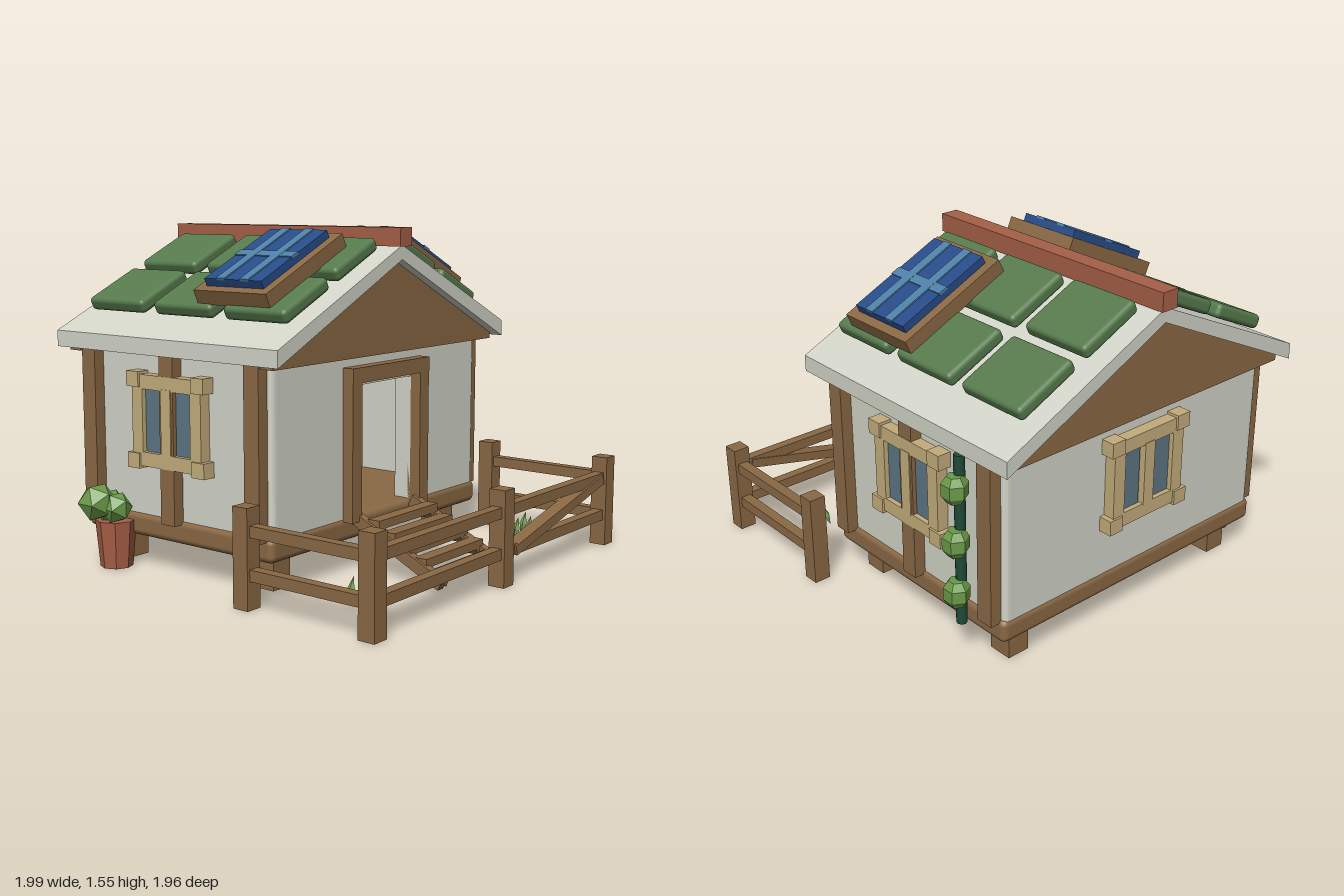
import * as THREE from 'three';
import { RoundedBoxGeometry } from 'three/addons/geometries/RoundedBoxGeometry.js';

const mat = (color, flatShading = false) => new THREE.MeshStandardMaterial({ color, flatShading });
const WOOD = mat(0x8a6844), WALL = mat(0xd2d4c8), TILE = mat(0x567a4c), CLAY = mat(0xa65f46, true);
const TAN = mat(0xc4ad7c), GLASS = mat(0x5d7684), BLUE = mat(0x274c88), CELL = mat(0x4f80a8);
const DARK = mat(0x544030), LEAF = mat(0x6a9a48, true), STEM = mat(0x1f4a38), GRASS = mat(0x7fa55c, true);
const PITCH = Math.atan2(0.4, 0.86);

function add(parent, name, geometry, material, x = 0, y = 0, z = 0) {
  const m = new THREE.Mesh(geometry, material);
  m.name = name;
  m.position.set(x, y, z);
  parent.add(m);
  return m;
}
const box = (p, name, material, w, h, d, x, y, z) => add(p, name, new THREE.BoxGeometry(w, h, d), material, x, y, z);
const rounded = (p, name, material, w, h, d, r, x, y, z) =>
  add(p, name, new RoundedBoxGeometry(w, h, d, 3, r), material, x, y, z);
function group(parent, name, x = 0, y = 0, z = 0) {
  const g = new THREE.Group();
  g.name = name;
  g.position.set(x, y, z);
  parent.add(g);
  return g;
}
const polygon = pts => new THREE.Shape(pts.map(p => new THREE.Vector2(...p)));
const extrude = (shape, depth) => new THREE.ExtrudeGeometry(shape, { depth, bevelEnabled: false, curveSegments: 4 });

// Wall plan with rounded corners; shape y is -z. With a door half-width it is cut open at the front.
function wallPlan(doorHalf) {
  const W = 0.775, D = 0.57, T = 0.09, r = 0.03, s = new THREE.Shape();
  s.moveTo(doorHalf, -D);
  s.lineTo(W - r, -D); s.quadraticCurveTo(W, -D, W, -D + r);
  s.lineTo(W, D - r); s.quadraticCurveTo(W, D, W - r, D);
  s.lineTo(-W + r, D); s.quadraticCurveTo(-W, D, -W, D - r);
  s.lineTo(-W, -D + r); s.quadraticCurveTo(-W, -D, -W + r, -D);
  s.lineTo(-doorHalf, -D);
  const w = W - T, d = D - T;
  if (doorHalf) {
    for (const [x, y] of [[-doorHalf, -d], [-w, -d], [-w, d], [w, d], [w, -d], [doorHalf, -d]]) s.lineTo(x, y);
  } else {
    s.holes.push(polygon([[-w, -d], [-w, d], [w, d], [w, -d]]));
  }
  return s;
}

// Two-pane window facing +z
function windowUnit(parent, name, x, z, turn) {
  const g = group(parent, name, x, 0.70, z);
  g.rotation.y = turn;
  for (const s of [-1, 1]) {
    box(g, 'windowStile', TAN, 0.065, 0.4, 0.055, s * 0.18, 0, 0.03);
    box(g, 'windowRail', TAN, 0.42, 0.065, 0.055, 0, s * 0.175, 0.03);
    box(g, 'windowPane', GLASS, 0.115, 0.29, 0.02, s * 0.095, 0, 0.025);
    for (const t of [-1, 1]) box(g, 'windowCorner', TAN, 0.075, 0.07, 0.065, s * 0.2, t * 0.185, 0.035);
  }
  box(g, 'windowMullion', TAN, 0.06, 0.3, 0.05, 0, 0, 0.035);
}

function buildHouse(house) {
  rounded(house, 'floor', WOOD, 1.58, 0.11, 1.155, 0.03, 0, 0.203, 0);
  for (const x of [-0.64, 0.64]) for (const z of [-0.445, 0.445]) box(house, 'footing', WOOD, 0.11, 0.17, 0.115, x, 0.085, z);
  add(house, 'walls', extrude(wallPlan(0.225), 0.6), WALL, 0, 0.25, 0).rotation.x = -Math.PI / 2;
  add(house, 'upperWalls', extrude(wallPlan(0), 0.17), WALL, 0, 0.85, 0).rotation.x = -Math.PI / 2;
  box(house, 'innerWall', DARK, 1.38, 0.77, 0.03, 0, 0.635, -0.3);
  for (const s of [-1, 1]) {
    for (const z of [-0.502, 0, 0.502]) box(house, 'wallPost', WOOD, 0.1, 0.78, 0.084, s * 0.78, 0.63, z);
    windowUnit(house, 'sideWindow', s * 0.775, 0, s * Math.PI / 2);
    box(house, 'doorJamb', WOOD, 0.07, 0.7, 0.07, s * 0.26, 0.59, 0.59);
  }
  box(house, 'doorLintel', WOOD, 0.59, 0.07, 0.075, 0, 0.905, 0.59);
  windowUnit(house, 'backWindow', 0, -0.57, Math.PI);
  // Gables and roof
  const gable = polygon([[-0.83, 0.985], [0.83, 0.985], [0.83, 1.015], [0, 1.412], [-0.83, 1.015]]);
  for (const z of [-0.625, 0.555]) add(house, 'gable', extrude(gable, 0.07), WOOD, 0, 0, z);
  const roof = polygon([[-0.86, 1], [0, 1.41], [0.86, 1], [0.86, 1.075], [0, 1.475], [-0.86, 1.075]]);
  add(house, 'roof', extrude(roof, 1.355), WALL, 0, 0, -0.678);
  box(house, 'ridgeBeam', CLAY, 0.087, 0.085, 1.395, 0, 1.512, 0);
  for (const s of [-1, 1]) {
    // Slope frame: local x runs down the slope on the +x side, local y is its normal
    const slope = group(house, 'roofSlope', 0, 1.475, 0);
    slope.rotation.z = -s * PITCH;
    for (const d of [0.235, 0.615]) for (const z of [-0.425, 0, 0.425])
      rounded(slope, 'roofTile', TILE, 0.32, 0.066, 0.355, 0.022, s * d, 0.045, z);
    const panel = group(slope, 'solarPanel', s * 0.465, 0.108, 0.3);
    box(panel, 'panelFrame', WOOD, 0.57, 0.07, 0.42, 0, 0, 0);
    box(panel, 'panelFace', BLUE, 0.485, 0.04, 0.33, 0, 0.052, 0);
    for (const z of [-0.068, 0.068]) box(panel, 'panelStrip', CELL, 0.487, 0.012, 0.048, 0, 0.072, z);
    box(panel, 'panelCrossStrip', CELL, 0.048, 0.012, 0.332, 0, 0.071, 0);
  }
}

function buildSteps(parent) {
  const steps = group(parent, 'steps');
  for (const s of [-1, 1]) {
    const stringer = box(steps, 'stepStringer', WOOD, 0.04, 0.055, 0.53, s * 0.225, 0.14, 0.545);
    stringer.rotation.x = Math.atan(0.48);
  }
  for (let i = 0; i < 5; i++) {
    const y = 0.06 + 0.044 * i, z = 0.755 - 0.085 * i;
    box(steps, 'stepTread', WOOD, 0.46, 0.04, 0.065, 0, y, z);
    // Sloping cleats at the tread ends
    for (const s of [-1, 1]) box(steps, 'stepCleat', WOOD, 0.035, 0.035, 0.06, s * 0.2, y - 0.025, z).rotation.z = s * 0.6;
  }
}

function buildFence(parent) {
  const fence = group(parent, 'fence');
  for (const [x, z] of [[-0.94, 0.29], [0.94, 0.29], [-0.94, 0.94], [0, 0.94], [0.94, 0.94]])
    box(fence, 'fencePost', WOOD, 0.08, 0.435, 0.08, x, 0.2175, z);
  for (const y of [0.15, 0.335]) for (const s of [-1, 1]) {
    box(fence, 'frontRail', WOOD, 0.88, 0.05, 0.05, s * 0.47, y, 0.94);
    box(fence, 'sideRail', WOOD, 0.05, 0.05, 0.6, s * 0.94, y, 0.615);
  }
  box(fence, 'loosePlank', WOOD, 0.83, 0.045, 0.065, 0.477, 0.238, 0.943).rotation.z = 0.225;
}

function buildPlants(root) {
  // Climbing plant
  const vine = group(root, 'vine', 0, 0, -0.655);
  add(vine, 'vineStem', new THREE.CylinderGeometry(0.024, 0.024, 0.795, 8), STEM, 0.865, 0.59, 0);
  const clump = new THREE.LatheGeometry([[0, -0.06], [0.035, -0.06], [0.058, -0.028], [0.058, 0.028], [0.035, 0.06], [0, 0.06]]
    .map(p => new THREE.Vector2(...p)), 6);
  for (const y of [0.35, 0.59, 0.84]) add(vine, 'vineLeaves', clump, LEAF, 0.89, y, 0);
  // Potted bush
  const pot = group(root, 'pottedPlant', -0.81, 0, -0.62);
  add(pot, 'pot', new THREE.CylinderGeometry(0.095, 0.075, 0.22, 8), CLAY, 0, 0.11, 0);
  for (const [x, y, z, r] of [[-0.1, 0.315, -0.01, 0.09], [-0.05, 0.29, 0.06, 0.075], [-0.01, 0.28, -0.03, 0.08]])
    add(pot, 'bush', new THREE.IcosahedronGeometry(r, 0), LEAF, x, y, z);
  // Grass tufts
  for (const x of [-0.59, 0.735]) {
    const tuft = group(root, 'grassTuft', x, 0, 0.63);
    [[-0.06, -0.005], [0, 0.03], [0.06, -0.035]].forEach(([dx, dz]) => {
      const blade = add(tuft, 'grassBlade', new THREE.OctahedronGeometry(0.06, 0), GRASS, dx, 0.075, dz);
      blade.scale.set(0.3, 1, 0.3);
      blade.rotation.set(0.15, 0.3, -0.3);
    });
  }
}

export function createModel() {
  const root = new THREE.Group();
  root.name = 'cottage';
  buildHouse(group(root, 'house', 0.02, 0, -0.28));
  const yard = group(root, 'yard', 0.02, 0, 0);
  buildSteps(yard);
  buildFence(yard);
  buildPlants(root);
  return root;
}
